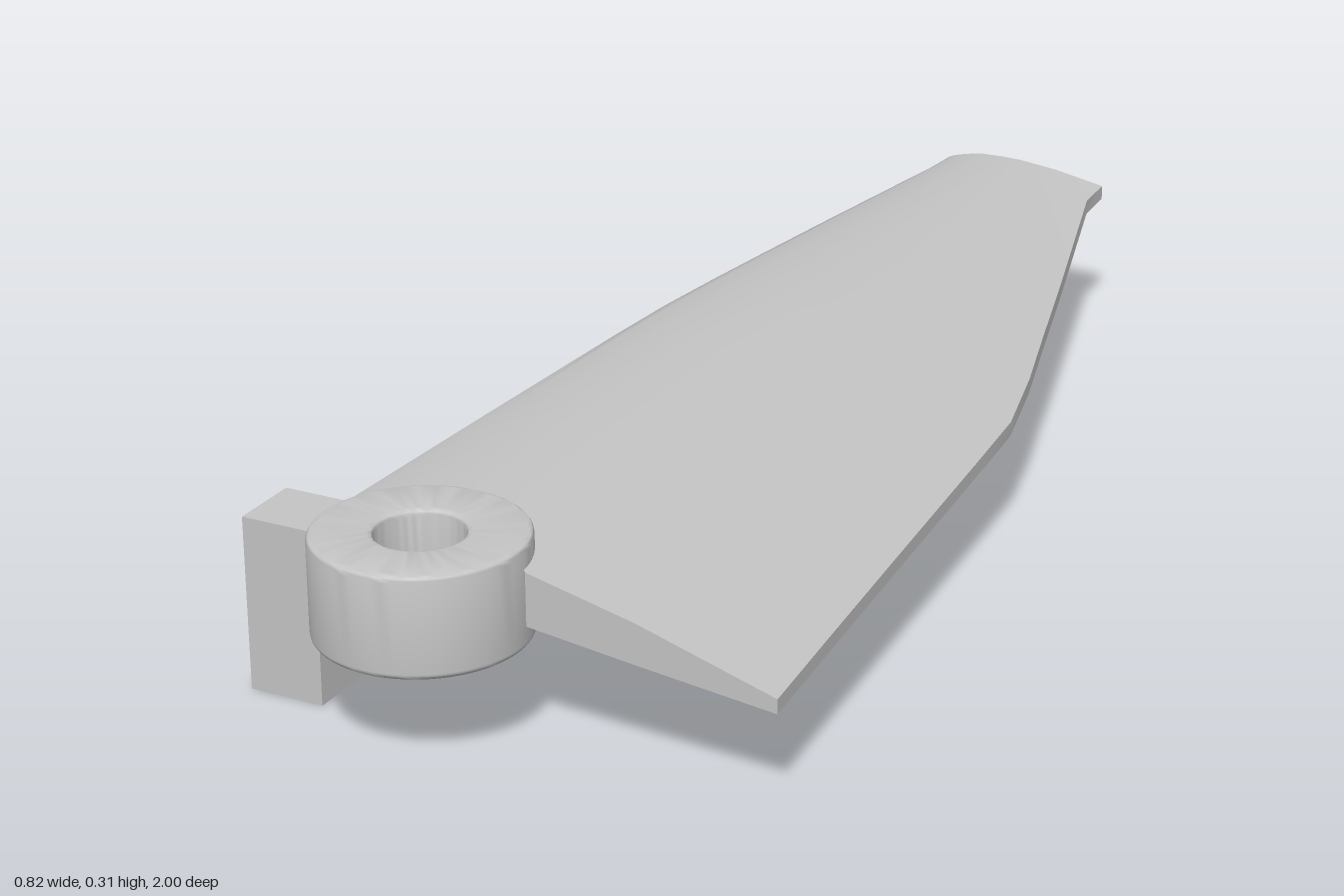
import * as THREE from 'three';
import { toCreasedNormals } from 'three/addons/utils/BufferGeometryUtils.js';

const HUB = { x: -0.123, z: 0.846, r: 0.1535, hole: 0.063, bottom: 0.153, top: 0.305 };

// Blade stations: z, leading-edge x, trailing-edge x, blend from root to tip profile
const STATIONS = [
  [0.838, -0.3, 0.411, 0], [0.65, -0.295, 0.393, 0.05], [0.4, -0.288, 0.37, 0.12],
  [0.05, -0.277, 0.339, 0.23], [-0.1, -0.27, 0.325, 0.28], [-0.25, -0.259, 0.289, 0.38],
  [-0.4, -0.246, 0.246, 0.49], [-0.6, -0.228, 0.19, 0.65], [-0.93, -0.198, 0.095, 0.95],
  [-1, -0.195, 0.093, 1],
];
// Chord fractions with upper and lower heights at root and tip
const CHORD = [0.01, 0.04, 0.12, 0.22, 0.35, 0.47, 0.7, 1];
const ROOT = {
  edge: 0.269,
  upper: [0.281, 0.288, 0.295, 0.297, 0.289, 0.271, 0.233, 0.169],
  lower: [0.257, 0.245, 0.228, 0.217, 0.203, 0.191, 0.171, 0.147],
};
const TIP = {
  edge: 0.242,
  upper: [0.246, 0.25, 0.256, 0.261, 0.262, 0.261, 0.254, 0.238],
  lower: [0.238, 0.237, 0.238, 0.24, 0.241, 0.239, 0.231, 0.215],
};

function bladeGeometry() {
  const n = CHORD.length, ring = 2 * n + 1;
  const positions = [], index = [];
  const mix = THREE.MathUtils.lerp;

  STATIONS.forEach(([z, lead, trail, w], row) => {
    const add = (t, rootY, tipY) => {
      const x = mix(lead, trail, t);
      let pz = z;
      // the root edge curves around the bore, hidden inside the hub wall
      const dx = x - HUB.x;
      if (row === 0 && Math.abs(dx) < 0.12) pz = Math.min(z, HUB.z - Math.sqrt(0.0144 - dx * dx));
      positions.push(x, mix(rootY, tipY, w), pz);
    };
    add(0, ROOT.edge, TIP.edge);
    for (let i = 0; i < n; i++) add(CHORD[i], ROOT.upper[i], TIP.upper[i]);
    for (let i = n - 1; i >= 0; i--) add(CHORD[i], ROOT.lower[i], TIP.lower[i]);
  });

  // skin between stations
  for (let r = 0; r < STATIONS.length - 1; r++) {
    for (let i = 0; i < ring; i++) {
      const a = r * ring + i, b = r * ring + (i + 1) % ring;
      index.push(a, b, a + ring, b, b + ring, a + ring);
    }
  }
  // end caps
  const last = (STATIONS.length - 1) * ring;
  for (const [o, flip] of [[0, false], [last, true]]) {
    const tri = (a, b, c) => (flip ? index.push(o + a, o + c, o + b) : index.push(o + a, o + b, o + c));
    tri(0, ring - 1, 1);
    for (let i = 1; i < n; i++) {
      tri(i, ring - i, ring - i - 1);
      tri(i, ring - i - 1, i + 1);
    }
  }
  const g = new THREE.BufferGeometry();
  g.setAttribute('position', new THREE.Float32BufferAttribute(positions, 3));
  g.setIndex(index);
  return toCreasedNormals(g, 0.7);
}

function hubGeometry() {
  const { r, hole, bottom, top } = HUB, f = 0.01, s = 0.001;
  const points = [];
  // rounded corner with a tight support point at each end, so the flats shade flat
  const fillet = (cx, cy, from) => {
    const put = (a, slide) => points.push(new THREE.Vector2(
      cx + f * Math.cos(a) - slide * Math.sin(a), cy + f * Math.sin(a) + slide * Math.cos(a)));
    put(from, -s);
    for (let i = 0; i <= 4; i++) put(from + (i / 4) * Math.PI / 2, 0);
    put(from + Math.PI / 2, s);
  };
  // closed ring profile, rounded at all four corners
  fillet(r - f, bottom + f, -Math.PI / 2);
  fillet(r - f, top - f, 0);
  fillet(hole + f, top - f, Math.PI / 2);
  fillet(hole + f, bottom + f, Math.PI);
  points.push(points[0].clone());
  return toCreasedNormals(new THREE.LatheGeometry(points, 64), 0.7);
}

export function createModel() {
  const model = new THREE.Group();
  model.name = 'bladeWithHub';
  const grey = new THREE.MeshStandardMaterial({ color: 0xc4c4c4 });
  grey.name = 'light grey';

  const addPart = (name, geometry, x = 0, y = 0, z = 0) => {
    const mesh = new THREE.Mesh(geometry, grey);
    mesh.name = name;
    mesh.position.set(x, y, z);
    model.add(mesh);
  };
  addPart('blade', bladeGeometry());
  addPart('hub', hubGeometry(), HUB.x, 0, HUB.z);
  addPart('stopBlock', new THREE.BoxGeometry(0.117, 0.264, 0.11), -0.353, 0.132, 0.79);
  return model;
}
